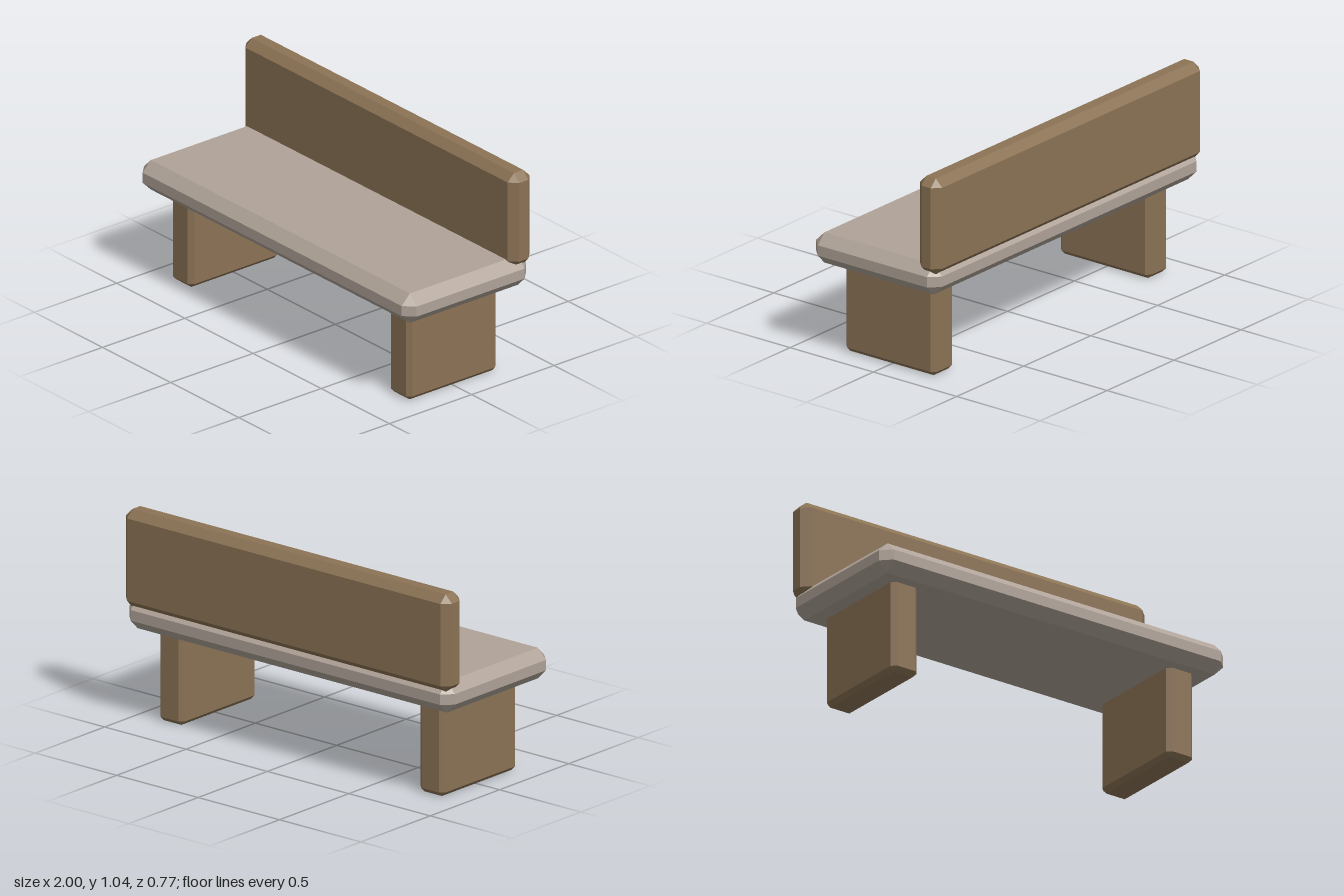
import * as THREE from 'three';
import { ConvexGeometry } from 'three/addons/geometries/ConvexGeometry.js';

// Box between two corners with every edge cut off at 45 degrees
function chamferedBox(name, min, max, cut, material) {
  const center = min.map((v, i) => (v + max[i]) / 2);
  const half = min.map((v, i) => (max[i] - v) / 2);
  const points = [];
  for (const sx of [-1, 1]) for (const sy of [-1, 1]) for (const sz of [-1, 1]) {
    // each corner becomes three points, one on each adjoining face
    for (let face = 0; face < 3; face++) {
      const p = [sx, sy, sz].map((s, i) => s * (half[i] - (i === face ? 0 : cut)));
      points.push(new THREE.Vector3(...p));
    }
  }
  const mesh = new THREE.Mesh(new ConvexGeometry(points), material);
  mesh.name = name;
  mesh.position.set(...center);
  return mesh;
}

export function createModel() {
  const wood = new THREE.MeshStandardMaterial({ color: 0x8b7355, flatShading: true });
  const stone = new THREE.MeshStandardMaterial({ color: 0xb0a398, flatShading: true });

  const bench = new THREE.Group();
  bench.name = 'bench';

  // Thick seat slab
  bench.add(chamferedBox('seat', [-1, 0.453, -0.371], [1, 0.605, 0.384], 0.05, stone));

  // Backrest board, sunk slightly into the rear of the seat
  bench.add(chamferedBox('backrest', [-1, 0.562, -0.382], [1, 1.045, -0.25], 0.038, wood));

  // Slab legs, tops tucked into the seat
  for (const [name, x] of [['leftLeg', 0.8], ['rightLeg', -0.8]]) {
    bench.add(chamferedBox(name, [x - 0.076, 0, -0.266], [x + 0.076, 0.49, 0.279], 0.022, wood));
  }

  return bench;
}
